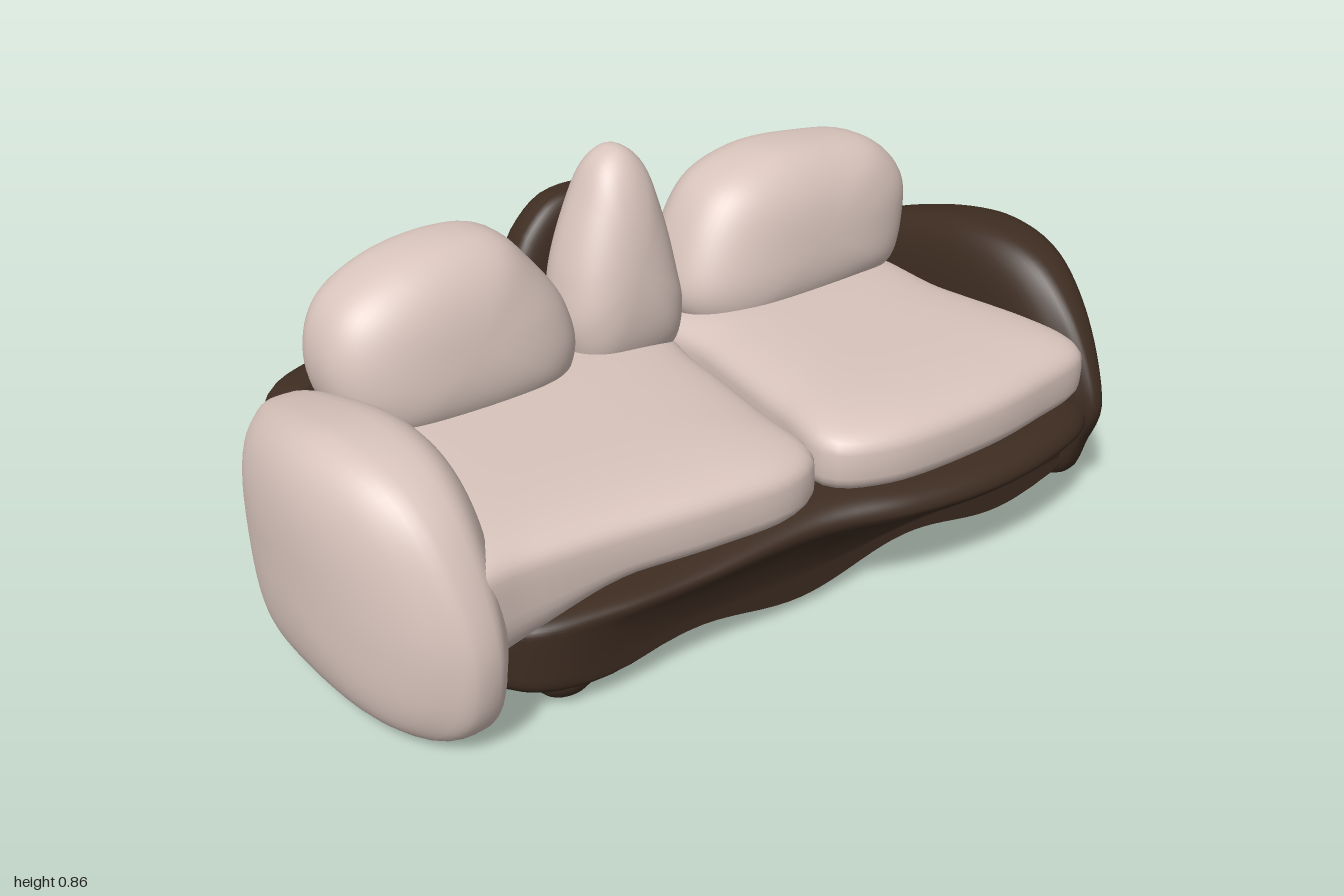
import * as THREE from 'three';

const pink = new THREE.MeshStandardMaterial({ color: 0xd8c4bc });
pink.name = 'blush fabric';
const brown = new THREE.MeshStandardMaterial({ color: 0x3d2c21 });
brown.name = 'dark brown fabric';

const clamp = (v) => Math.min(1, Math.max(0, v));
const smooth = (v) => { const c = clamp(v); return c * c * (3 - 2 * c); };

// Inflated cushion: a closed outline (u, v) swelling along w in -1..1.
// e below 1 makes it boxier; place(u, v, w, s) gives the final position.
function pillow(name, material, outline, e, place, sides = 96, rings = 32) {
  const curve = new THREE.CatmullRomCurve3(
    outline.map(([u, v]) => new THREE.Vector3(u, v, 0)), true, 'centripetal');
  const pts = curve.getSpacedPoints(sides).slice(0, sides);
  const box = new THREE.Box3().setFromPoints(pts);
  const c = box.getCenter(new THREE.Vector3());
  const pos = [];
  const idx = [];
  pos.push(...place(c.x, c.y, -1, 0));
  for (let i = 1; i < rings; i++) {
    const t = (i / rings - 0.5) * Math.PI;
    const s = Math.pow(Math.cos(t), e);
    const w = Math.sign(t) * Math.pow(Math.abs(Math.sin(t)), e);
    for (const p of pts) pos.push(...place(c.x + (p.x - c.x) * s, c.y + (p.y - c.y) * s, w, s));
  }
  pos.push(...place(c.x, c.y, 1, 0));
  const last = pos.length / 3 - 1;
  for (let j = 0; j < sides; j++) {
    const k = (j + 1) % sides;
    idx.push(0, 1 + k, 1 + j);
    for (let i = 0; i < rings - 2; i++) {
      const a = 1 + i * sides, b = a + sides;
      idx.push(a + j, a + k, b + k, a + j, b + k, b + j);
    }
    const a = 1 + (rings - 2) * sides;
    idx.push(a + j, a + k, last);
  }
  // Turn the faces outward whichever way the outline runs
  let volume = 0;
  const P = (i) => new THREE.Vector3().fromArray(pos, i * 3);
  for (let i = 0; i < idx.length; i += 3) volume += P(idx[i]).dot(P(idx[i + 1]).cross(P(idx[i + 2])));
  if (volume < 0) idx.reverse();
  const g = new THREE.BufferGeometry();
  g.setAttribute('position', new THREE.Float32BufferAttribute(pos, 3));
  g.setIndex(idx);
  g.computeVertexNormals();
  const mesh = new THREE.Mesh(g, material);
  mesh.name = name;
  return mesh;
}

export function createModel() {
  const sofa = new THREE.Group();
  sofa.name = 'sofa';

  // Base: plan outline (x, z), overhanging at the front, hollow underneath
  const basePlan = [[-0.4, -0.6], [-0.36, -0.76], [-0.2, -0.86], [0.15, -0.9], [0.34, -0.88], [0.45, -0.79],
    [0.51, -0.62], [0.53, -0.42], [0.5, -0.2], [0.43, 0], [0.41, 0.3], [0.385, 0.52], [0.31, 0.7],
    [-0.1, 0.76], [-0.33, 0.78], [-0.38, 0.7], [-0.4, 0.3], [-0.4, -0.3]];
  sofa.add(pillow('base', brown, basePlan, 0.3, (u, v, w, s) => {
    let y = 0.14 + 0.128 * w;
    if (w < 0) {
      y += 0.05 * smooth((0.9 - s) / 0.3);
      y += 0.05 * smooth((u - 0.2) / 0.15) * Math.sin(v * Math.PI / 0.6) ** 2 * clamp(-w) ** 2;
    } else y -= 0.05 * smooth((v + 0.2) / 0.6) * w;
    const f = smooth((0.22 - y) / 0.11);
    const x = u > 0.37 ? u + (0.37 - u) * f : u;
    return [x, y, v];
  }, 128, 48));

  // Small feet
  for (const [x, z] of [[-0.28, 0.58], [-0.28, -0.62], [0.31, 0.57], [0.31, -0.64], [0.25, 0]]) {
    const foot = new THREE.Mesh(new THREE.SphereGeometry(1, 20, 12), brown);
    foot.name = 'foot';
    foot.scale.set(0.05, 0.05, 0.07);
    foot.position.set(x, 0.05, z);
    sofa.add(foot);
  }

  // Backrest: leaning panel with a raised hump, wrapping round at the ends
  const backOutline = [[-0.86, 0.06], [-0.89, 0.25], [-0.86, 0.42], [-0.7, 0.46], [-0.35, 0.47], [-0.25, 0.51],
    [-0.17, 0.64], [-0.08, 0.7], [0.06, 0.7], [0.14, 0.64], [0.21, 0.54], [0.32, 0.49],
    [0.7, 0.48], [0.84, 0.45], [0.88, 0.25], [0.85, 0.06], [0.75, 0.015], [0.4, 0.012],
    [-0.4, 0.012], [-0.75, 0.015]];
  sofa.add(pillow('backrest', brown, backOutline, 0.5, (u, v, w) => {
    const lean = 0.11 * Math.pow(clamp(1 - v / 0.7), 1.5);
    const wrap = 0.1 * Math.pow(Math.abs(u) / 0.85, 5);
    return [-0.472 + 0.065 * w + lean + wrap, v, u];
  }, 160));

  // Arms: side outline (x, y), outer face curving away at front and back;
  // wrap pulls the rear rim inward so the arm rounds the corner
  const arm = (name, material, outline, side, z0, half, bend, wrap) =>
    pillow(name, material, outline, 0.66, (u, v, w) => {
      const pull = bend * u * u * clamp((w + 0.6) / 1.2) + (u < 0 ? wrap * u ** 4 : 0);
      return [u, v, side * (z0 + half * w - pull)];
    });
  sofa.add(arm('lightArm', pink, [[-0.43, 0.25], [-0.42, 0.39], [-0.37, 0.46], [-0.18, 0.535], [0.05, 0.578],
    [0.2, 0.555], [0.3, 0.485], [0.385, 0.34], [0.415, 0.21], [0.385, 0.07], [0.31, 0.01],
    [0, 0.005], [-0.28, 0.008], [-0.38, 0.09]], 1, 0.84, 0.16, 0.5, 0));
  sofa.add(arm('darkArm', brown, [[-0.45, 0.28], [-0.43, 0.4], [-0.34, 0.48], [-0.18, 0.54], [0.05, 0.578],
    [0.22, 0.545], [0.34, 0.45], [0.42, 0.33], [0.45, 0.23], [0.41, 0.13], [0.36, 0.03], [0.25, 0.008],
    [-0.28, 0.008], [-0.37, 0.05]], -1, 0.875, 0.125, 0.45, 2));

  // Seat cushions: plan outline (x, z)
  sofa.add(pillow('seatCushion', pink, [[-0.34, -0.76], [0, -0.78], [0.3, -0.82], [0.42, -0.79], [0.47, -0.6],
    [0.49, -0.4], [0.47, -0.14], [0.4, -0.03], [0.2, -0.055], [-0.1, -0.1], [-0.34, -0.13]],
  0.55, (u, v, w) => [u, 0.342 + 0.1 * w, v]));
  // This one flows into the light arm, so it deepens towards it
  sofa.add(pillow('seatCushionByArm', pink, [[-0.34, -0.11], [-0.1, -0.09], [0.2, -0.045], [0.38, -0.015],
    [0.43, 0.07], [0.425, 0.25], [0.39, 0.5], [0.37, 0.68], [0.35, 0.85], [0, 0.9], [-0.34, 0.85]],
  0.55, (u, v, w) => {
    const drop = smooth((v - 0.42) / 0.34);
    return [u, 0.325 + 0.098 * w - (w < 0 ? 0.11 * drop * -w : 0), v];
  }));

  // Back cushions: outline (z, y), front face leaning back
  const cushion = (name, outline, x0, half, lean, e) => pillow(name, pink, outline, e, (u, v, w) =>
    [x0 + half * w - lean * (v - 0.55) * (w + 1) / 2, v, u]);
  sofa.add(cushion('backCushion', [[0.76, 0.56], [0.72, 0.66], [0.6, 0.73], [0.43, 0.755], [0.32, 0.735],
    [0.25, 0.665], [0.18, 0.56], [0.165, 0.45], [0.22, 0.38], [0.66, 0.38], [0.74, 0.45]],
  -0.29, 0.165, 0.2, 0.76));
  sofa.add(cushion('backCushion', [[-0.14, 0.45], [-0.16, 0.56], [-0.25, 0.7], [-0.4, 0.755], [-0.6, 0.75],
    [-0.76, 0.715], [-0.84, 0.63], [-0.84, 0.54], [-0.79, 0.42], [-0.65, 0.38], [-0.2, 0.38]],
  -0.3, 0.175, 0.15, 0.76));
  sofa.add(cushion('centreCushion', [[0.17, 0.45], [0.16, 0.58], [0.1, 0.74], [0.045, 0.83], [-0.01, 0.853],
    [-0.06, 0.82], [-0.1, 0.71], [-0.13, 0.56], [-0.14, 0.45], [-0.1, 0.36], [0.12, 0.36]],
  -0.285, 0.125, 0.15, 0.85));

  return sofa;
}
